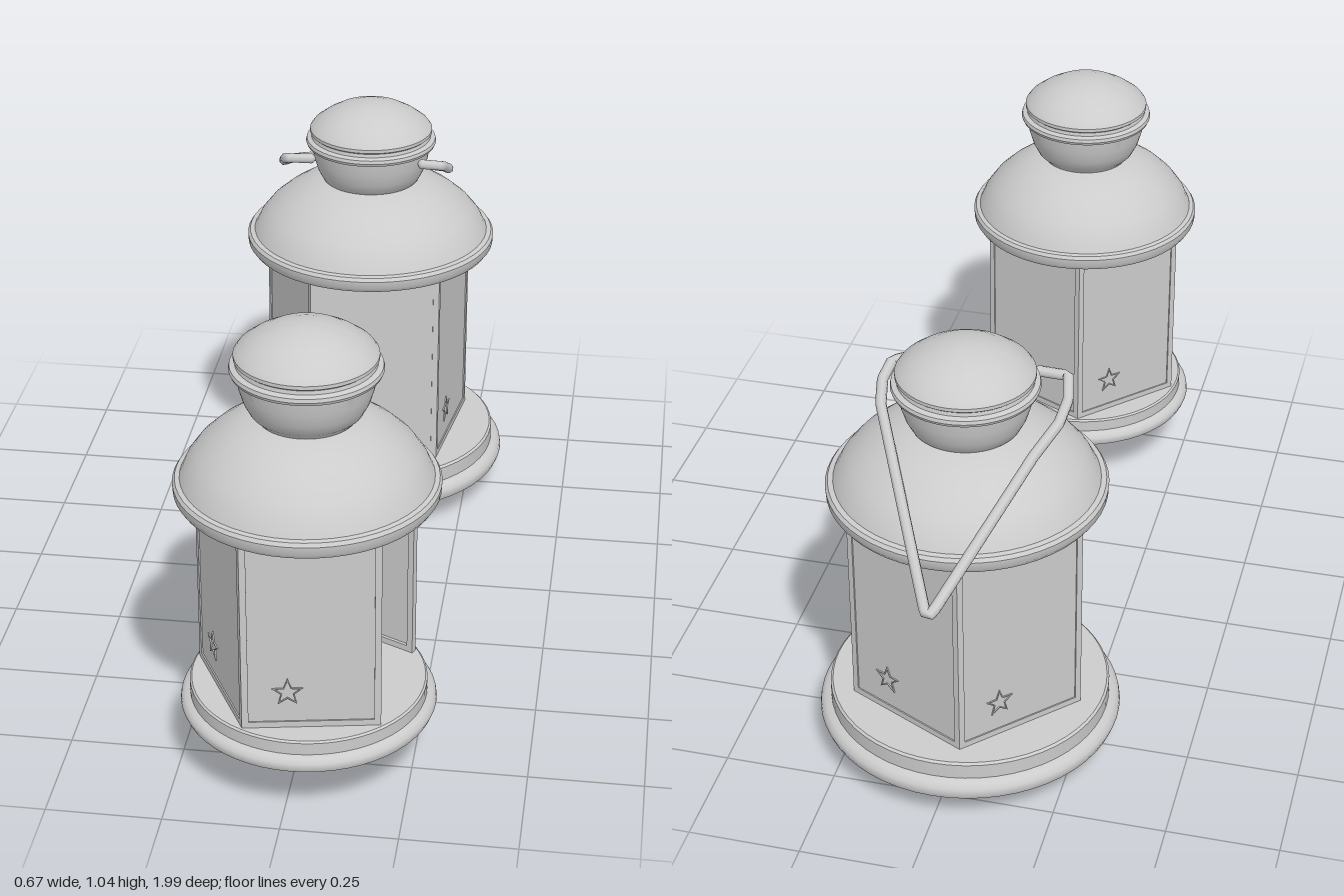
import * as THREE from 'three';
import { toCreasedNormals } from 'three/addons/utils/BufferGeometryUtils.js';

const grey = new THREE.MeshStandardMaterial({ color: 0xcccccc, side: THREE.DoubleSide });
const teal = new THREE.MeshStandardMaterial({ color: 0x6cb8ae });
const SIDES = 5;

function add(parent, name, geometry, material = grey) {
  const mesh = new THREE.Mesh(geometry, material);
  mesh.name = name;
  parent.add(mesh);
  return mesh;
}

// Turned part from [radius, height] pairs, with optional scaling
function turned(points, rs = 1, ys = 1, y0 = 0) {
  const pts = points.map(([r, y]) => new THREE.Vector2(r * rs, y * ys + y0));
  return toCreasedNormals(new THREE.LatheGeometry(pts, 56), 0.6);
}

const BASE = [[0, 0], [0.12, 0.002], [0.18, 0.01], [0.25, 0.037], [0.315, 0.07], [0.332, 0.08],
  [0.337, 0.093], [0.335, 0.105], [0.326, 0.115], [0.312, 0.12], [0.312, 0.155], [0.307, 0.16], [0, 0.16]];

const ROOF = [[0.25, 0.665], [0.256, 0.656], [0.27, 0.659], [0.277, 0.67], [0.278, 0.688], [0.273, 0.696],
  [0.263, 0.698], [0.251, 0.725], [0.23, 0.755], [0.2, 0.784], [0.165, 0.81], [0.13, 0.827], [0.1, 0.835]];

const KNOB = [[0.1, 0.83], [0.104, 0.838], [0.117, 0.85], [0.13, 0.875], [0.139, 0.905], [0.143, 0.934],
  [0.155, 0.938], [0.158, 0.945], [0.156, 0.953], [0.145, 0.957], [0.143, 0.965], [0.148, 0.969],
  [0.148, 0.977], [0.14, 0.988], [0.115, 1.007], [0.085, 1.024], [0.05, 1.036], [0.02, 1.041], [0, 1.042]];

function rect(path, w, h) {
  path.moveTo(-w / 2, -h / 2);
  path.lineTo(w / 2, -h / 2);
  path.lineTo(w / 2, h / 2);
  path.lineTo(-w / 2, h / 2);
  path.closePath();
  return path;
}

function star(path, r) {
  for (let i = 0; i < 10; i++) {
    const a = Math.PI / 2 + (i * Math.PI) / 5;
    const d = i % 2 ? r * 0.42 : r;
    if (i) path.lineTo(Math.cos(a) * d, Math.sin(a) * d);
    else path.moveTo(Math.cos(a) * d, Math.sin(a) * d);
  }
  path.closePath();
  return path;
}

// One wall of the lantern: slim frame, pane and star outline
function wallPanel(w, h) {
  const panel = new THREE.Group();
  panel.name = 'wallPanel';
  const outline = rect(new THREE.Shape(), w, h);
  outline.holes.push(rect(new THREE.Path(), w - 0.028, h - 0.028));
  const frame = add(panel, 'panelFrame',
    new THREE.ExtrudeGeometry(outline, { depth: 0.014, bevelEnabled: false }));
  frame.position.z = -0.014;
  const pane = add(panel, 'pane', new THREE.BoxGeometry(w - 0.024, h - 0.024, 0.004));
  pane.position.z = -0.005;
  const ring = star(new THREE.Shape(), 0.034);
  ring.holes.push(star(new THREE.Path(), 0.028));
  const ornament = add(panel, 'starOrnament',
    new THREE.ExtrudeGeometry(ring, { depth: 0.003, bevelEnabled: false }));
  ornament.position.set(-w * 0.17, -h / 2 + 0.085, -0.003);
  return panel;
}

// Complete lantern; openSide is the index of a missing wall
function lantern({ name, baseR, baseY, baseH, roofR, knobDrop, wallR, openSide }) {
  const g = new THREE.Group();
  g.name = name;
  add(g, 'base', turned(BASE, baseR, baseH, baseY));
  add(g, 'roof', turned(ROOF.map(([r, y]) => [0.1 + (r - 0.1) * roofR, y])));
  add(g, 'topKnob', turned(KNOB, 1, 1, -knobDrop));

  const bottom = baseY + 0.16 * baseH, top = 0.672;
  const w = 2 * wallR * Math.sin(Math.PI / SIDES);
  for (let i = 0; i < SIDES; i++) {
    if (i === openSide) continue;
    const a = THREE.MathUtils.degToRad(10 + (360 / SIDES) * i);
    const wall = wallPanel(w, top - bottom);
    const d = wallR * Math.cos(Math.PI / SIDES);
    wall.position.set(Math.sin(a) * d, (top + bottom) / 2, Math.cos(a) * d);
    wall.rotation.y = a;
    g.add(wall);
  }
  return g;
}

export function createModel() {
  const model = new THREE.Group();
  model.name = 'lanternPair';

  // Front lantern, with one side open
  const front = lantern({ name: 'frontLantern', baseR: 0.816, baseY: 0.08, baseH: 0.79,
    roofR: 1, knobDrop: 0, wallR: 0.246, openSide: 1 });
  front.position.set(0.022, 0, 0.72);
  model.add(front);

  // Candle and wick inside it
  const candle = new THREE.Group();
  candle.name = 'candle';
  candle.position.set(0.01, 0.206, 0);
  const wax = add(candle, 'candleWax',
    toCreasedNormals(new THREE.CylinderGeometry(0.08, 0.09, 0.14, 32), 0.6), teal);
  wax.position.y = 0.07;
  const wickPath = new THREE.CatmullRomCurve3([
    new THREE.Vector3(0, 0.135, 0.005), new THREE.Vector3(0, 0.16, -0.006), new THREE.Vector3(0, 0.19, -0.008)]);
  add(candle, 'wick', new THREE.TubeGeometry(wickPath, 8, 0.003, 6));
  front.add(candle);

  // Back lantern, wider at the base and closed all round
  const back = lantern({ name: 'backLantern', baseR: 1, baseY: 0, baseH: 1,
    roofR: 1.14, knobDrop: 0.016, wallR: 0.265, openSide: -1 });
  back.position.set(-0.002, 0, -0.515);
  model.add(back);

  // Bent wire handle hanging backwards from the knob
  const corners = [[-0.135, 0.915, -0.41], [-0.197, 0.913, -0.41], [-0.208, 0.885, -0.46],
    [-0.203, 0.865, -0.52], [-0.17, 0.835, -0.61], [-0.055, 0.685, -0.97], [-0.045, 0.679, -0.985],
    [-0.035, 0.685, -0.97], [0.18, 0.86, -0.53], [0.193, 0.882, -0.47], [0.183, 0.905, -0.43],
    [0.135, 0.915, -0.41]].map((p) => new THREE.Vector3(...p));
  const wire = new THREE.CurvePath();
  for (let i = 1; i < corners.length; i++) wire.add(new THREE.LineCurve3(corners[i - 1], corners[i]));
  add(model, 'handle', new THREE.TubeGeometry(wire, 160, 0.012, 8));
  // Rounded wire ends
  for (const end of [corners[0], corners[corners.length - 1]]) {
    add(model, 'handleEnd', new THREE.SphereGeometry(0.012, 8, 6)).position.copy(end);
  }
  return model;
}
